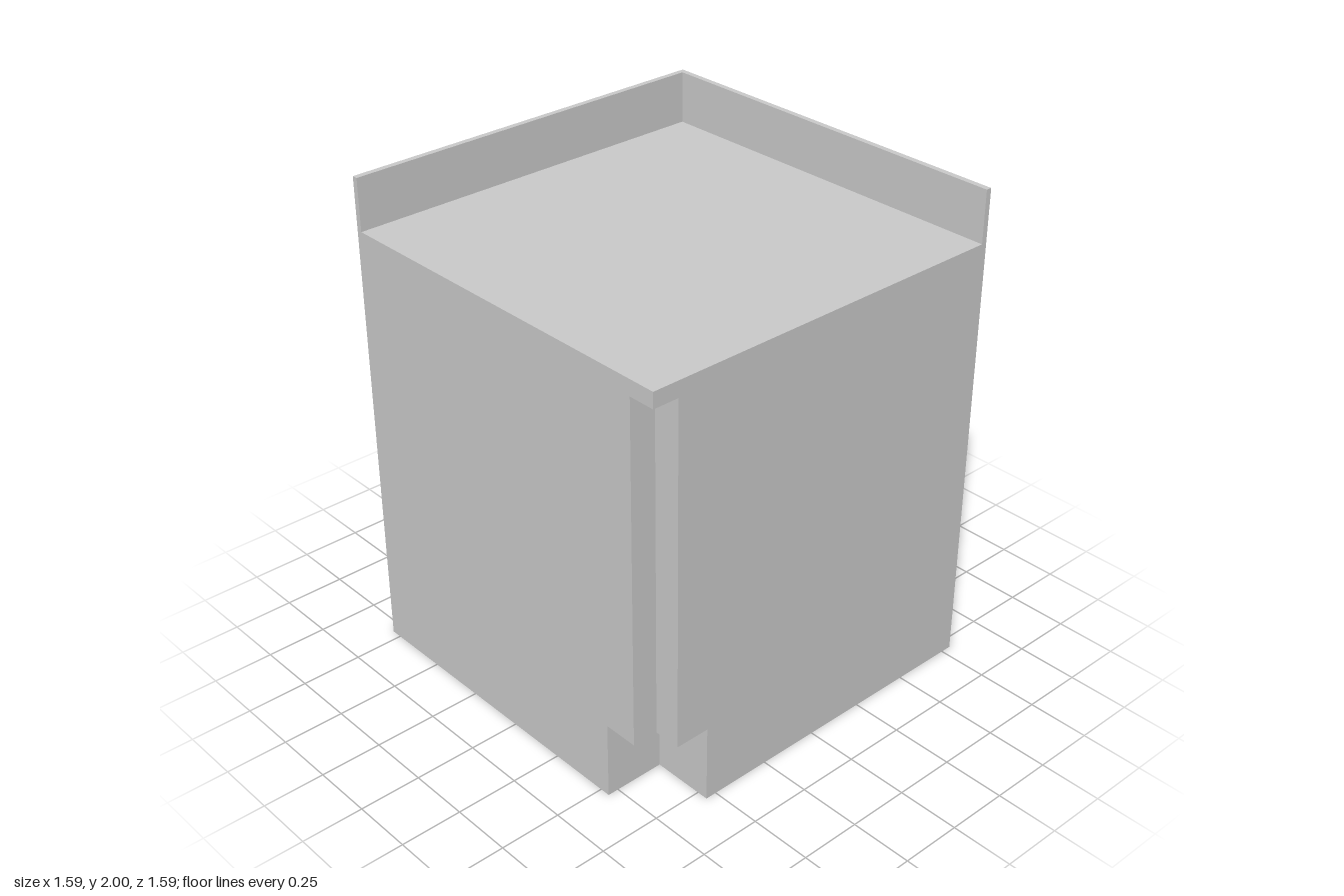
import * as THREE from 'three';

const H = 0.795; // half width of the square footprint
const material = new THREE.MeshStandardMaterial({ color: 0xcccccc, flatShading: true });

// Extrudes a plan outline of [x, z] points from height y0 to y1
function layer(name, plan, y0, y1) {
  const shape = new THREE.Shape(plan.map(([x, z]) => new THREE.Vector2(x, -z)));
  const geometry = new THREE.ExtrudeGeometry(shape, { depth: y1 - y0, bevelEnabled: false });
  geometry.rotateX(-Math.PI / 2).translate(0, y0, 0);
  const mesh = new THREE.Mesh(geometry, material);
  mesh.name = name;
  return mesh;
}

// Square plan with its front left corner cut away from the given x and z
const notched = (x, z) => [[-H, -H], [H, -H], [H, z], [x, z], [x, H], [-H, H]];

export function createModel() {
  const group = new THREE.Group();
  group.name = 'cornerCabinet';
  const inner = -0.772; // inside face of the raised walls
  const square = [[-H, -H], [H, -H], [H, H], [-H, H]];
  const wallPlan = [[-H, -H], [H, -H], [H, inner], [inner, inner], [inner, H], [-H, H]];

  group.add(
    layer('base', notched(0.542, 0.546), 0, 0.32), // wide corner recess
    layer('body', notched(0.685, 0.689), 0.32, 1.727), // narrow corner recess
    layer('top', square, 1.727, 1.79), // slab overhanging the recess
    layer('backWalls', wallPlan, 1.79, 2) // thin upstand on the back and right sides
  );
  return group;
}
